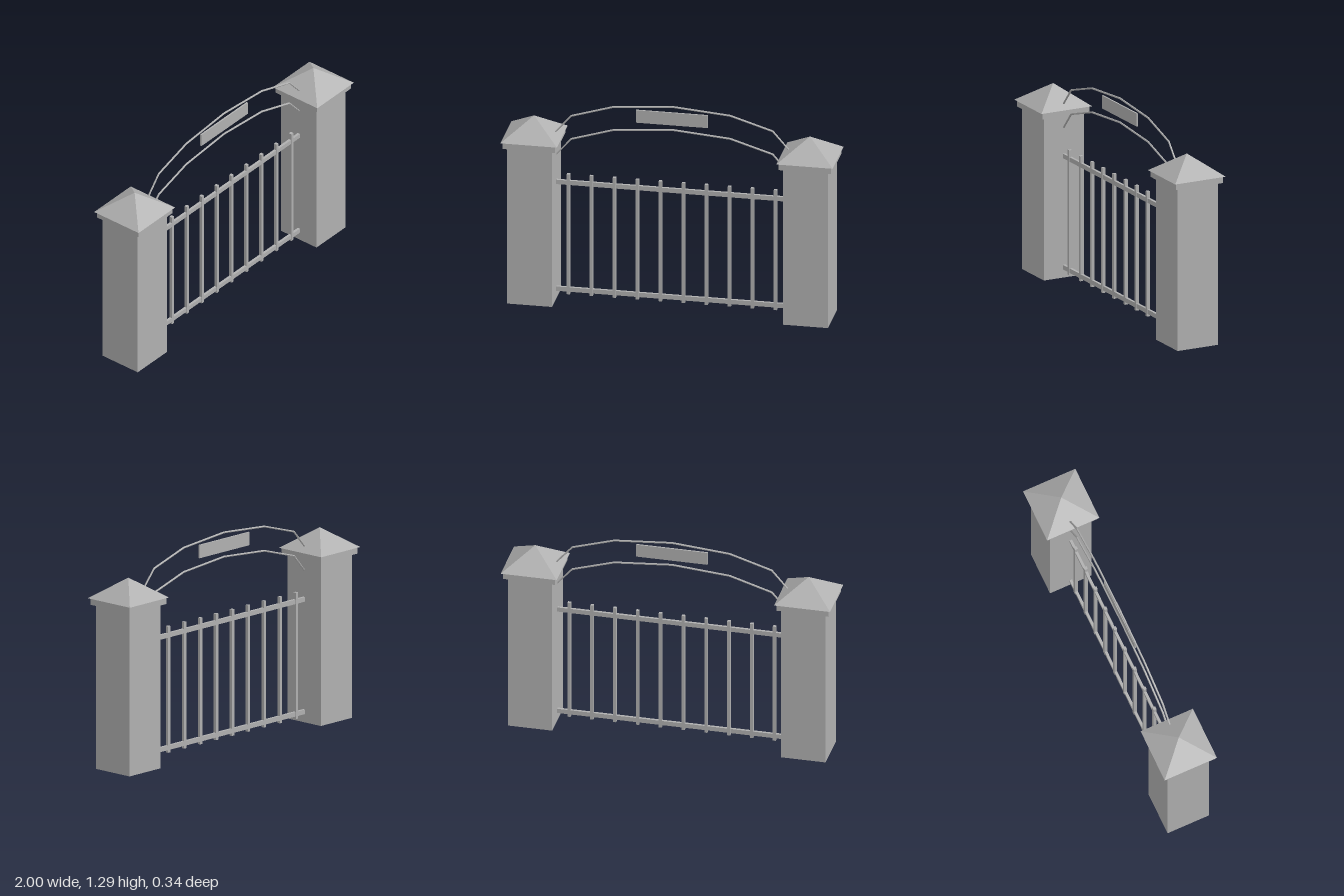
import * as THREE from 'three';

const stone = new THREE.MeshStandardMaterial({ color: 0xb0b0b0 });
stone.name = 'plain grey';

function add(parent, name, geometry, x, y, z = 0) {
  const mesh = new THREE.Mesh(geometry, stone);
  mesh.name = name;
  mesh.position.set(x, y, z);
  parent.add(mesh);
  return mesh;
}

function flat(geometry) {
  const g = geometry.toNonIndexed();
  g.computeVertexNormals();
  return g;
}

// Square pillar with a slab and a pyramid cap
function createPillar(name, x) {
  const pillar = new THREE.Group();
  pillar.name = name;
  pillar.position.x = x;
  add(pillar, 'pillarShaft', new THREE.BoxGeometry(0.27, 1, 0.27), 0, 0.5);
  add(pillar, 'pillarSlab', new THREE.BoxGeometry(0.317, 0.04, 0.317), 0, 1.02);
  const roof = new THREE.ConeGeometry(0.17 * Math.SQRT2, 0.123, 4).rotateY(Math.PI / 4);
  add(pillar, 'pillarRoof', flat(roof), 0, 1.1015);
  return pillar;
}

// Half ellipse split into six straight tube pieces
function archGeometry() {
  const curve = new THREE.Curve();
  curve.getPoint = (t, target = new THREE.Vector3()) => {
    const a = Math.PI * (1 - t);
    return target.set(0.7 * Math.cos(a), 0.215 * Math.sin(a), 0);
  };
  curve.getUtoTmapping = (u) => u; // equal angles rather than equal lengths
  return flat(new THREE.TubeGeometry(curve, 6, 0.006, 6, false));
}

export function createModel() {
  const model = new THREE.Group();
  model.name = 'gate';

  model.add(createPillar('leftPillar', 0.83), createPillar('rightPillar', -0.83));

  // Fence: two rails and ten upright bars
  const fence = new THREE.Group();
  fence.name = 'fence';
  model.add(fence);
  const railGeometry = new THREE.BoxGeometry(1.4, 0.028, 0.016);
  add(fence, 'lowerRail', railGeometry, 0, 0.065);
  add(fence, 'upperRail', railGeometry, 0, 0.75);
  const barGeometry = new THREE.BoxGeometry(0.019, 0.77, 0.019);
  for (let i = 0; i < 10; i++) {
    add(fence, 'fenceBar', barGeometry, (i - 4.5) * 0.1385, 0.42);
  }

  // Overhead arches with the sign board between them
  const arch = archGeometry();
  add(model, 'lowerArch', arch, 0, 0.922);
  add(model, 'upperArch', arch, 0, 1.07);
  add(model, 'signBoard', new THREE.BoxGeometry(0.432, 0.08, 0.01), 0, 1.208);

  return model;
}
